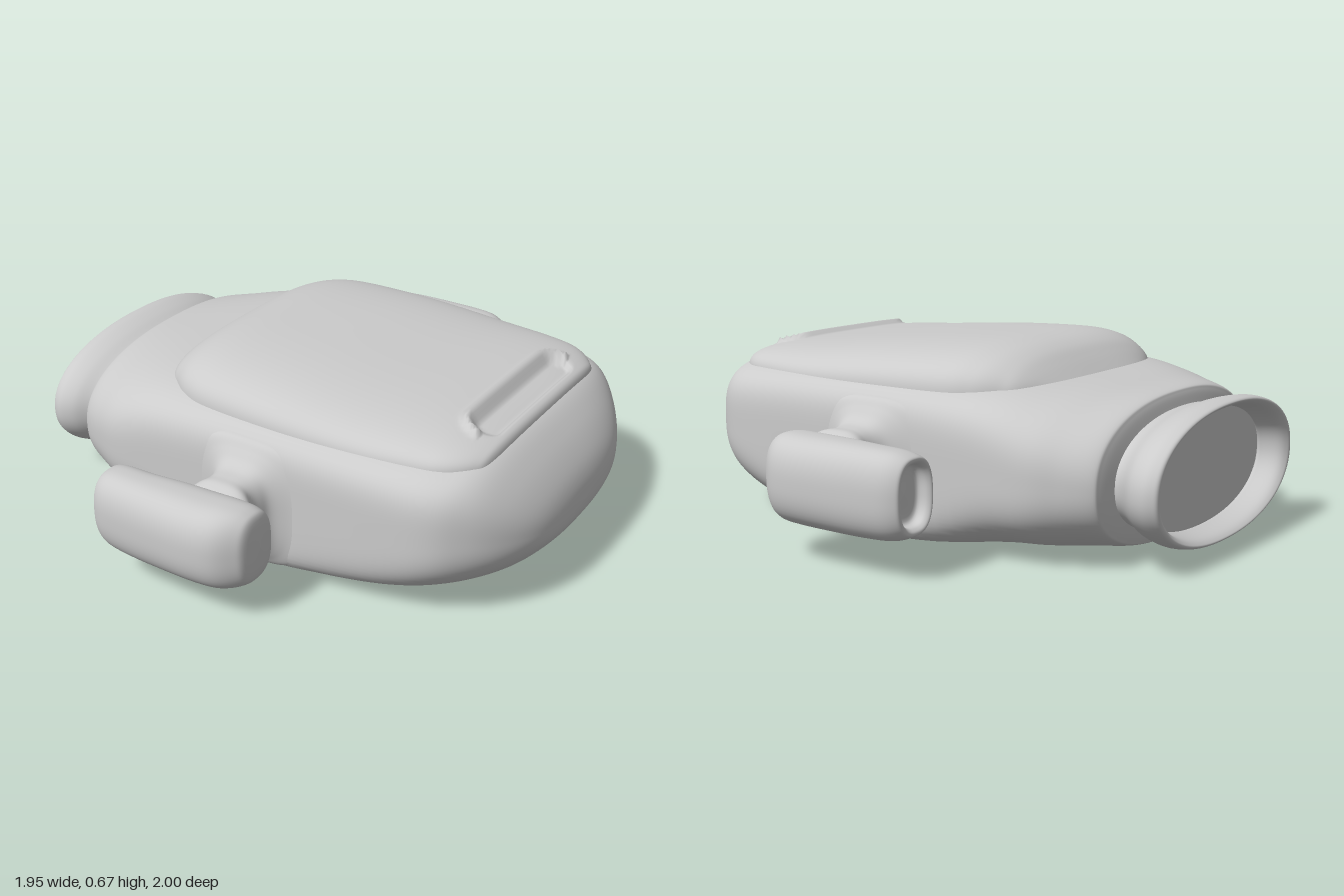
import * as THREE from 'three';

// Catmull-Rom blend of whole stations (arrays of equal length)
function resample(stations, sub) {
  const at = i => stations[Math.min(Math.max(i, 0), stations.length - 1)];
  const out = [];
  for (let i = 0; i < stations.length - 1; i++) {
    const [a, b, c, d] = [at(i - 1), at(i), at(i + 1), at(i + 2)];
    for (let s = 0; s < sub; s++) {
      const t = s / sub;
      out.push(b.map((v, k) => {
        const cubic = 3 * (v - c[k]) + d[k] - a[k];
        const square = 2 * a[k] - 5 * v + 4 * c[k] - d[k];
        return v + 0.5 * t * (c[k] - a[k] + t * (square + t * cubic));
      }));
    }
  }
  out.push(at(stations.length - 1));
  return out;
}

// Smooth skin over superellipse sections.
// Station: [along, centre, half width, low, high, top exponent, bottom exponent]
function loft(name, stations, { alongZ = false, sub = 6, seg = 96, deform } = {}) {
  const rings = resample(stations, sub);
  const pos = [], index = [];
  for (const [p, cu, hw, lo, hi, nTop, nBot] of rings) {
    for (let j = 0; j < seg; j++) {
      const a = j / seg * Math.PI * 2, c = Math.cos(a), s = Math.sin(a);
      const n = s >= 0 ? nTop : nBot;
      const r = Math.pow(Math.abs(c) ** n + Math.abs(s) ** n, -1 / n);
      const u = cu + Math.max(hw, 0) * r * c;
      const v = (lo + hi) / 2 + (hi - lo) / 2 * r * s;
      const q = alongZ ? [u, v, p] : [p, v, u];
      if (deform && s > 0) q[1] += deform(q[0], q[2]);
      pos.push(...q);
    }
  }
  for (let i = 0; i < rings.length - 1; i++) {
    for (let j = 0; j < seg; j++) {
      const k = (j + 1) % seg;
      const a = i * seg + j, b = i * seg + k, c = a + seg, d = b + seg;
      if (alongZ) index.push(a, b, c, b, d, c);
      else index.push(a, c, b, b, c, d);
    }
  }
  const geo = new THREE.BufferGeometry();
  geo.setAttribute('position', new THREE.Float32BufferAttribute(pos, 3));
  geo.setIndex(index);
  geo.computeVertexNormals();
  const mesh = new THREE.Mesh(geo, new THREE.MeshStandardMaterial({ color: 0xcccccc }));
  mesh.name = name;
  return mesh;
}

// Raised lip and shallow recess of the window at the nose end of the canopy
function windowShape(x, z) {
  const d = Math.hypot(x - 0.725, Math.max(Math.abs(z) - 0.26, 0));
  const offset = (d - 0.07) / 0.014;
  const lip = x < 0.725 ? 0.022 * Math.exp(-offset * offset) : 0;
  return lip - 0.02 * (1 - THREE.MathUtils.smoothstep(d, 0.03, 0.055));
}

// Side pod with its strut, symmetric about local y = 0
function sidePod(name) {
  const g = new THREE.Group();
  g.name = name;
  const pod = [
    [-0.31, 0.87, 0, 0], [-0.31, 0.87, 0.06, 0.085], [-0.345, 0.87, 0.068, 0.1],
    [-0.358, 0.87, 0.078, 0.113], [-0.35, 0.875, 0.09, 0.126], [-0.3, 0.885, 0.1, 0.14],
    [-0.2, 0.89, 0.105, 0.145], [-0.08, 0.885, 0.115, 0.147], [0.05, 0.88, 0.12, 0.147],
    [0.14, 0.87, 0.115, 0.145], [0.2, 0.85, 0.095, 0.13], [0.225, 0.84, 0.07, 0.1],
    [0.232, 0.835, 0, 0],
  ];
  const strut = [
    [0.58, 0.03, 0.27, 0.24], [0.62, 0.03, 0.24, 0.23], [0.645, 0.03, 0.17, 0.2],
    [0.67, 0.033, 0.125, 0.17], [0.7, 0.035, 0.108, 0.152], [0.74, 0.035, 0.105, 0.145],
    [0.78, 0.04, 0.13, 0.142], [0.82, 0.04, 0.15, 0.12],
  ];
  const full = n => ([p, c, w, h]) => [p, c, w, -h, h, n, n];
  g.add(loft('pod', pod.map(full(2.6)), { seg: 64 }));
  g.add(loft('strut', strut.map(full(3)), { alongZ: true, seg: 64 }));
  g.position.y = 0.27;
  return g;
}

export function createModel() {
  const model = new THREE.Group();
  model.name = 'vessel';

  // Main hull: flat belly, rounded nose at +x, oval shoulder at -x
  model.add(loft('hull', [
    [-0.8, 0.43, 0.07, 0.47, 2.2, 2.2],
    [-0.788, 0.51, 0.035, 0.51, 2.3, 2.3],
    [-0.77, 0.54, 0.024, 0.525, 2.4, 2.4],
    [-0.68, 0.585, 0.02, 0.535, 2.7, 2.6],
    [-0.56, 0.625, 0.015, 0.55, 3.2, 3],
    [-0.35, 0.637, 0.01, 0.565, 4.5, 4],
    [0, 0.64, 0.005, 0.57, 5.5, 9],
    [0.3, 0.638, 0.012, 0.57, 5.5, 6],
    [0.55, 0.632, 0.03, 0.57, 5, 4],
    [0.7, 0.61, 0.052, 0.567, 4.5, 3],
    [0.8, 0.55, 0.08, 0.555, 3.8, 2.7],
    [0.88, 0.46, 0.12, 0.49, 3.2, 2.5],
    [0.94, 0.34, 0.175, 0.41, 2.7, 2.4],
    [0.968, 0.2, 0.22, 0.34, 2.4, 2.4],
    [0.975, 0, 0.27, 0.27, 2.4, 2.4],
  ].map(([x, ...rest]) => [x, 0, ...rest]), { seg: 128 }));

  // Raised canopy with the nose window
  model.add(loft('canopy', [
    [-0.52, 0.25, 0.53, 3], [-0.44, 0.42, 0.603, 3], [-0.38, 0.48, 0.645, 3],
    [-0.3, 0.53, 0.668, 3], [-0.18, 0.56, 0.674, 3], [0.1, 0.575, 0.662, 3],
    [0.4, 0.565, 0.638, 3], [0.6, 0.54, 0.622, 3.4], [0.7, 0.51, 0.607, 3.8],
    [0.77, 0.45, 0.588, 4], [0.8, 0.38, 0.57, 4], [0.81, 0.2, 0.53, 4], [0.812, 0, 0.5, 4],
  ].map(([x, w, hi, n]) => [x, 0, w, 1 - hi, hi, n, n]),
  { seg: 192, sub: 10, deform: windowShape }));

  // Flared oval collar with a recessed opening
  model.add(loft('collar', [
    [-0.88, 0, 0], [-0.88, 0.41, 0.185], [-0.885, 0.425, 0.195], [-0.95, 0.45, 0.208],
    [-0.975, 0.475, 0.22], [-0.978, 0.493, 0.228], [-0.965, 0.505, 0.234],
    [-0.93, 0.512, 0.236], [-0.88, 0.495, 0.225], [-0.83, 0.455, 0.205],
    [-0.8, 0.44, 0.2], [-0.76, 0.44, 0.2],
  ].map(([x, w, h]) => [x, 0, w, 0.27 - h, 0.27 + h, 2.2, 2.2])));

  // Side pods, the second one turned over to the far side
  model.add(sidePod('frontPod'));
  const back = sidePod('backPod');
  back.rotation.x = Math.PI;
  model.add(back);

  return model;
}
